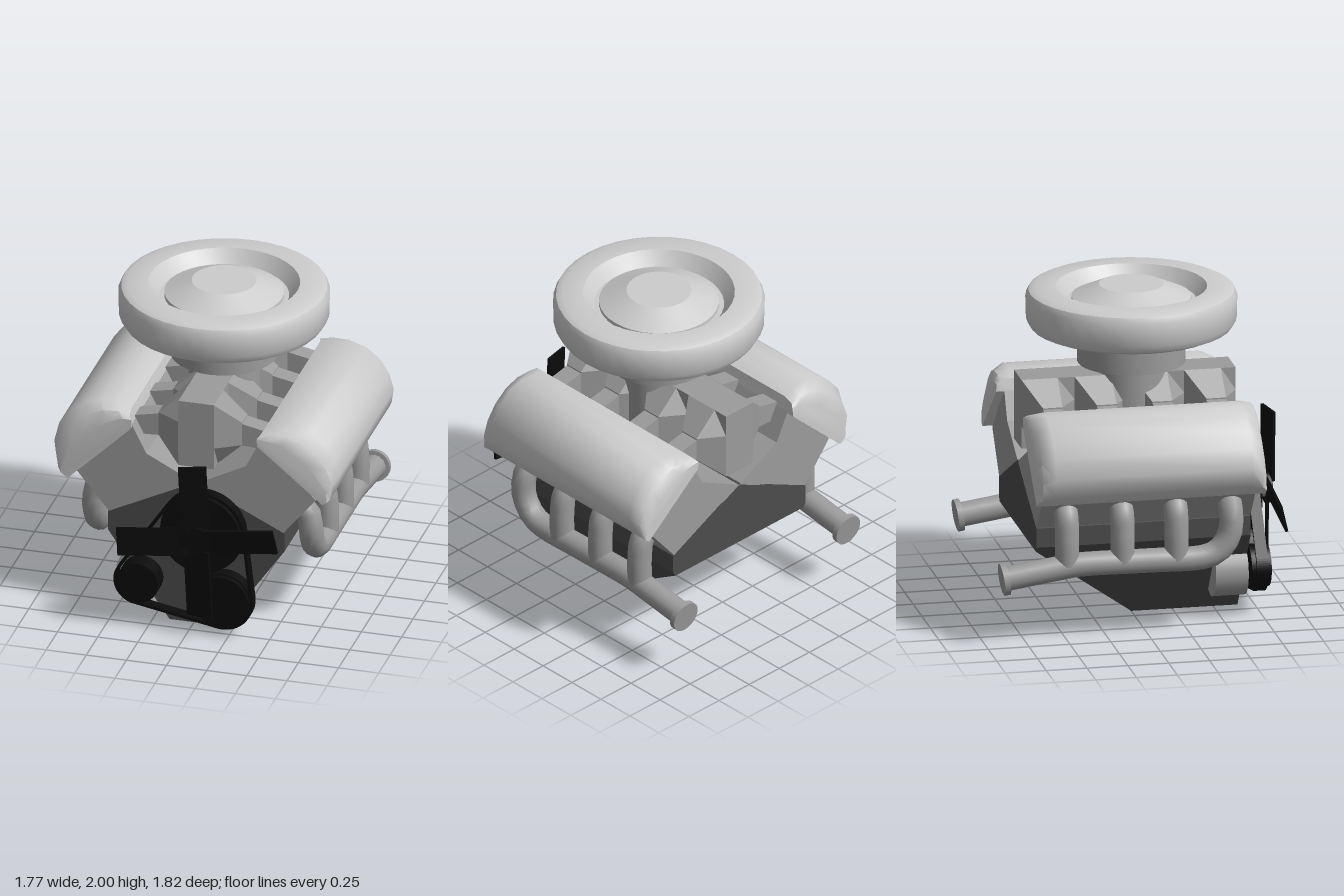
import * as THREE from 'three';
import { toCreasedNormals } from 'three/addons/utils/BufferGeometryUtils.js';

const mat = (name, color) => Object.assign(new THREE.MeshStandardMaterial({ color }), { name });

// Joins [z, outline] sections, front to back, outlines counter-clockwise seen from the front
function loft(sections, crease = 0.1) {
  const n = sections[0][1].length, pos = [], idx = [];
  for (const [z, pts] of sections) for (const [x, y] of pts) pos.push(x, y, z);
  for (let k = 0; k < sections.length - 1; k++) {
    for (let i = 0; i < n; i++) {
      const j = (i + 1) % n, a = k * n + i, b = k * n + j;
      idx.push(a, a + n, b, a + n, b + n, b);
    }
  }
  const cap = pts => THREE.ShapeUtils.triangulateShape(pts.map(p => new THREE.Vector2(...p)), []);
  const last = (sections.length - 1) * n;
  for (const [a, b, c] of cap(sections[0][1])) idx.push(a, b, c);
  for (const [a, b, c] of cap(sections[sections.length - 1][1])) idx.push(last + a, last + c, last + b);
  const g = new THREE.BufferGeometry();
  g.setAttribute('position', new THREE.Float32BufferAttribute(pos, 3));
  g.setIndex(idx);
  return toCreasedNormals(g, crease);
}

// Mirrors an outline to the other bank, keeping its direction
const mirror = (s, pts) => s > 0 ? pts : pts.map(([x, y]) => [-x, y]).reverse();

// Flattens a dome outline towards the seat line between its two ends
function flatten(dome, h) {
  const a = new THREE.Vector2(...dome[0]);
  const seat = new THREE.Vector2(...dome[dome.length - 1]).sub(a).normalize();
  return dome.map(p => {
    const v = new THREE.Vector2(...p);
    const foot = seat.clone().multiplyScalar(v.clone().sub(a).dot(seat)).add(a);
    return foot.lerp(v, h).toArray();
  });
}

export function createModel() {
  const light = mat('light metal', 0xcccccc);
  const mid = mat('grey metal', 0x9c9c9c);
  const dark = mat('dark block', 0x4c4c4c);
  const black = mat('black', 0x0b0b0b);

  const root = new THREE.Group();
  root.name = 'engine';
  const body = new THREE.Group();
  body.name = 'engineBody';
  body.position.x = 0.013;
  root.add(body);
  const add = (name, geo, m, parent = body) => {
    const mesh = new THREE.Mesh(geo, m);
    mesh.name = name;
    parent.add(mesh);
    return mesh;
  };

  // Block with a sump that slopes up to the rear
  const blockTop = [[0.55, 0.55], [0.55, 0.67], [0, 0.94], [-0.55, 0.67], [-0.55, 0.55]];
  const full = [[-0.165, 0], [0.165, 0], ...blockTop];
  const rear = [[-0.53, 0.52], [0.53, 0.52], ...blockTop];
  add('block', loft([[0.65, full], [0, full], [-0.66, rear]]), dark);

  // Intake manifold: a spine that bulges out to each runner
  const spine = w => [[0.11, 1.04], [w, 1.18], [w, 1.33], [0.11, 1.47],
    [-0.11, 1.47], [-w, 1.33], [-w, 1.18], [-0.11, 1.04]];
  const runners = [0.5, 0.17, -0.17, -0.5];
  const spineSections = [[0.65, spine(0.112)]];
  runners.forEach((z, i) => spineSections.push([z + 0.06, spine(0.26)], [z - 0.06, spine(0.26)],
    [i < 3 ? z - 0.165 : -0.66, spine(0.112)]));
  add('intakeManifold', loft(spineSections), mid);

  const head = [[0.54, 0.67], [0.745, 0.92], [0.4, 1.27], [0.31, 1.09], [0, 0.93]];
  const rightDome = [[0.788, 0.88], [0.87, 0.95], [0.9, 1.07], [0.87, 1.19], [0.8, 1.28],
    [0.71, 1.35], [0.61, 1.385], [0.5, 1.38], [0.42, 1.35], [0.4, 1.257]];
  // The left cover sits flatter and slightly further out
  const leftDome = [[0.797, 0.915], [0.845, 0.955], [0.87, 1.06], [0.847, 1.17], [0.787, 1.265],
    [0.7, 1.335], [0.6, 1.362], [0.49, 1.352], [0.41, 1.325], [0.391, 1.25]];
  const rect = (w, y0, y1) => [[-w, y0], [w, y0], [w, y1], [-w, y1]];

  for (const s of [1, -1]) {
    const side = s > 0 ? 'left' : 'right';
    const outline = mirror(s, head);
    add(side + 'CylinderHead', loft([[0.65, outline], [-0.66, outline]]), mid);

    // Valve cover with rounded ends
    const dome = s > 0 ? leftDome : rightDome;
    const ends = [[0.69, 0.5], [0.665, 0.8], [0.59, 1], [-0.61, 1], [-0.685, 0.8], [-0.71, 0.5]];
    add(side + 'ValveCover', loft(ends.map(([z, h]) => [z, mirror(s, flatten(dome, h))]), 0.8), light);

    // Intake runners
    for (const z of runners) {
      const g = loft([[0.41, rect(0.06, 1.17, 1.29)], [0.22, rect(0.06, 1.18, 1.33)]]);
      g.rotateY(s * Math.PI / 2);
      add(side + 'IntakeRunner', g, mid).position.z = z;
    }

    // Exhaust header: four ports, the first one sweeping into the collector
    const tube = (name, pts) => add(side + name, new THREE.TubeGeometry(
      new THREE.CatmullRomCurve3(pts.map(([x, y, z]) => new THREE.Vector3(s * x, y, z))), 28, 0.074, 14), mid);
    const port = z => [[0.5, 0.83, z], [0.59, 0.82, z], [0.655, 0.765, z], [0.675, 0.65, z]];
    for (const z of [0.17, -0.16, -0.5]) tube('ExhaustPort', [...port(z), [0.675, 0.47, z]]);
    tube('ExhaustCollector', [...port(0.505), [0.675, 0.57, 0.48], [0.675, 0.5, 0.42], [0.675, 0.47, 0.34],
      [0.675, 0.468, 0], [0.675, 0.468, -0.44], [0.675, 0.455, -0.54], [0.675, 0.405, -0.88]]);
    const flange = add(side + 'ExhaustFlange', new THREE.CylinderGeometry(0.098, 0.098, 0.035, 20), mid);
    flange.position.set(s * 0.675, 0.405, -0.882);
    flange.rotation.x = Math.PI / 2 - 0.13;
  }

  // Air cleaner on its carburettor neck
  const lathe = (name, pts, m, crease = 0.6) => {
    const g = new THREE.LatheGeometry(pts.map(p => new THREE.Vector2(...p)), 36);
    add(name, toCreasedNormals(g, crease), m).position.z = 0.035;
  };
  lathe('carburettorNeck', [[0, 1], [0.215, 1], [0.215, 1.52], [0.325, 1.52], [0.325, 1.69], [0, 1.69]], mid);
  lathe('airCleaner', [[0, 1.68], [0.325, 1.68], [0.56, 1.725], [0.605, 1.745], [0.632, 1.79], [0.636, 1.93],
    [0.618, 1.968], [0.58, 1.987], [0.455, 1.987], [0.39, 1.9], [0, 1.9]], light);
  lathe('airCleanerLid', [[0.36, 1.9], [0.36, 1.925], [0.195, 2], [0, 2]], light, 0.35);

  // Pulleys and belt: [name, x, y, belt radius, pulley radius]
  const drive = new THREE.Group();
  drive.name = 'frontDrive';
  root.add(drive);
  const disc = (name, x, y, r, z0, z1, m) => {
    const c = add(name, new THREE.CylinderGeometry(r, r, z1 - z0, 28), m, drive);
    c.rotation.x = Math.PI / 2;
    c.position.set(x, y, (z0 + z1) / 2);
  };
  const pulleys = [['fanPulley', 0.08, 0.665, 0.27, 0.25],
    ['alternatorPulley', -0.312, 0.29, 0.155, 0.13], ['crankPulley', 0.21, 0.23, 0.19, 0.17]];
  for (const [name, x, y, rim, r] of pulleys) {
    disc(name, x, y, r, 0.68, 0.8, black);
    if (name !== 'alternatorPulley') disc(name + 'Rim', x, y, rim - 0.012, 0.71, 0.77, black);
  }
  disc('alternator', -0.32, 0.285, 0.165, 0.45, 0.65, mid);
  disc('fanShaft', 0.075, 0.66, 0.062, 0.78, 0.88, mid);
  disc('fanHub', 0.075, 0.66, 0.1, 0.86, 0.895, black);

  // Belt loop: at each angle, the outermost pulley rim
  const loop = inset => Array.from({ length: 72 }, (_, i) => {
    const t = i / 72 * Math.PI * 2, c = Math.cos(t), d = Math.sin(t);
    const reach = p => p[1] * c + p[2] * d + p[3];
    const p = pulleys.reduce((best, q) => reach(q) > reach(best) ? q : best);
    return new THREE.Vector2(p[1] + c * (p[3] - inset), p[2] + d * (p[3] - inset));
  });
  const belt = new THREE.Shape(loop(0));
  belt.holes.push(new THREE.Path(loop(0.018)));
  add('driveBelt', new THREE.ExtrudeGeometry(belt, { depth: 0.07, bevelEnabled: false }), black, drive).position.z = 0.705;

  // Four pitched fan blades
  for (let i = 0; i < 4; i++) {
    const arm = new THREE.Group();
    arm.name = 'fanBlade';
    arm.position.set(0.078, 0.66, 0.88);
    arm.rotation.z = i * Math.PI / 2 + (i % 2 ? 0.13 : 0.05);
    const blade = add('blade', new THREE.BoxGeometry(0.17, 0.44, 0.018), black, arm);
    blade.position.set(0, 0.276, 0);
    blade.rotation.y = 0.24;
    drive.add(arm);
  }
  return root;
}
